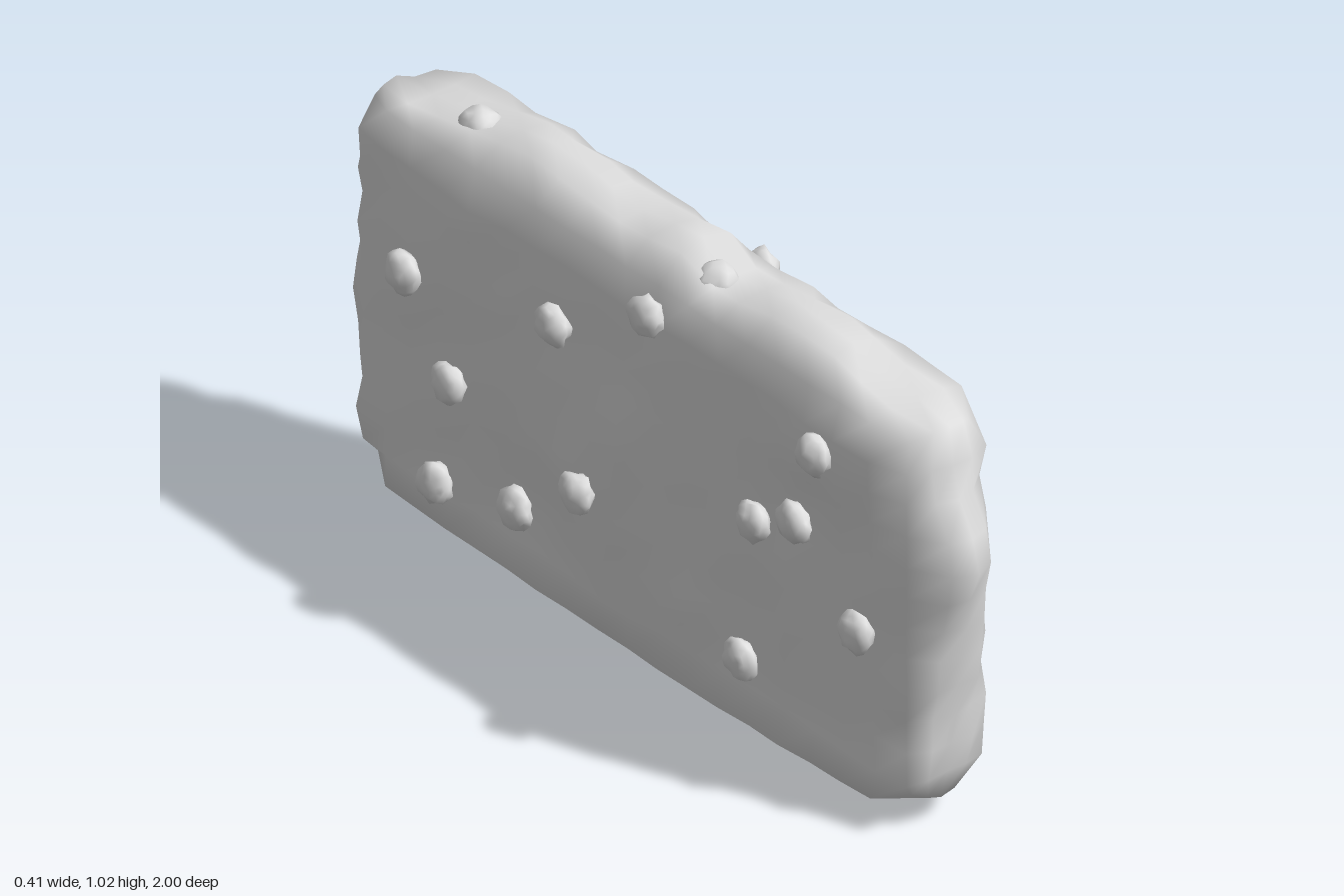
import * as THREE from 'three';
import { mergeVertices } from 'three/addons/utils/BufferGeometryUtils.js';

const stone = new THREE.MeshStandardMaterial({ color: 0xdedede });
stone.name = 'pale stone';

// Piecewise-linear profile through [position, value] pairs in rising order
function profile(points, t) {
  if (t <= points[0][0]) return points[0][1];
  for (let i = 1; i < points.length; i++) {
    const [a, va] = points[i - 1], [b, vb] = points[i];
    if (t <= b) return va + (vb - va) * (t - a) / (b - a);
  }
  return points[points.length - 1][1];
}

// Repeatable noise in -1..1 from a position
function noise(x, y, z) {
  const s = Math.sin(x * 127.1 + y * 311.7 + z * 74.7) * 43758.5453;
  return (s - Math.floor(s)) * 2 - 1;
}

// Weld the corners, move every vertex, then smooth the normals
function smooth(geometry, move) {
  geometry.deleteAttribute('uv');
  geometry.deleteAttribute('normal');
  const welded = mergeVertices(geometry, 1e-4);
  const p = welded.attributes.position, v = new THREE.Vector3();
  for (let i = 0; i < p.count; i++) {
    move(v.fromBufferAttribute(p, i));
    p.setXYZ(i, v.x, v.y, v.z);
  }
  welded.computeVertexNormals();
  return welded;
}

// Ridge outlines around the slab's rim
const TOP = [[-0.9, 0.92], [-0.6, 0.97], [-0.42, 1.01], [-0.1, 0.99], [0.1, 1.015], [0.2, 0.97], [0.4, 1], [0.58, 1], [0.9, 0.94]];
const BOTTOM = [[-0.89, 0.06], [-0.42, 0], [-0.1, 0.02], [0.08, 0.01], [0.4, 0.025], [0.88, 0.06]];
const FRONT = [[0.06, 0.88], [0.2, 0.91], [0.45, 0.95], [0.68, 1], [0.78, 0.93], [0.93, 0.9]];
const BACK = [[0.06, 0.89], [0.2, 0.95], [0.45, 1], [0.6, 0.96], [0.78, 0.97], [0.91, 0.9]];

// Pebbles on both broad faces: z, y, distance out on +x, distance out on -x
const STUDS = [
  [0.67, 0.83, 0.133, 0.178], [0.1, 0.89, 0.142, 0.16], [-0.21, 0.72, 0.125, 0.155],
  [-0.68, 0.63, 0.15, 0.172], [0.55, 0.6, 0.163, 0.132], [0.43, 0.55, 0.165, 0.143],
  [0.76, 0.44, 0.142, 0.14], [-0.55, 0.42, 0.163, 0.155], [-0.11, 0.375, 0.147, 0.172],
  [0.37, 0.19, 0.122, 0.128], [-0.37, 0.2, 0.115, 0.125], [-0.61, 0.155, 0.125, 0.143],
];

// Sharp swellings on the broad faces: side, z, y, height
const BULGES = [
  [1, 0.49, 0.55, 0.05], [1, 0.27, 0.85, 0.065], [1, 0.59, 0.28, 0.05],
  [-1, 0, 0.55, 0.025], [-1, -0.5, 0.85, 0.02], [-1, 0.2, 0.22, 0.03],
];

// Half thickness of a broad face: passes just under its pebbles
function faceDepth(side, z, y) {
  let sum = 0, total = 0, extra = 0;
  for (const [sz, sy, left, right] of STUDS) {
    const weight = ((sz - z) ** 2 + (sy - y) ** 2 + 0.008) ** -1.5;
    sum += weight * (side > 0 ? left : right);
    total += weight;
  }
  for (const [s, bz, by, h] of BULGES) {
    if (s === side) extra += h * Math.exp(-((z - bz) ** 2 + (y - by) ** 2) / 0.004);
  }
  return sum / total - 0.018 + extra;
}

function slabGeometry() {
  return smooth(new THREE.BoxGeometry(2, 2, 2, 4, 12, 18), (v) => {
    const { x: ux, y: uy, z: uz } = v;
    const n = noise(ux, uy, uz);
    const crown = 1 - Math.abs(ux) ** 2.5;
    const onRim = Math.abs(uy) > 0.99, onEnd = Math.abs(uz) > 0.99;
    let y = 0.49 + uy * 0.44, z = uz * 0.89;
    // Rim and ends: pull the centre out to the ridge outline
    if (onRim) {
      const edge = uy > 0 ? 0.945 : 0.04 + 0.02 * uz * uz;
      const ridge = profile(uy > 0 ? TOP : BOTTOM, z);
      y = edge + (ridge - edge) * crown + n * 0.008;
    }
    if (onEnd) {
      const ridge = profile(uz > 0 ? FRONT : BACK, y);
      z = Math.sign(uz) * (0.885 + (ridge - 0.885) * crown + n * 0.008);
    } else {
      z += n * 0.012;
    }
    // Broad faces: narrow towards the rim, most of all at the corners
    const blend = Math.max(Math.abs(uy), Math.abs(uz)) ** 8;
    let rimWidth = onRim ? 0.122 : uz > 0 ? 0.1 : 0.112;
    if (onRim && onEnd) {
      rimWidth = 0.075;
      y -= Math.sign(uy) * 0.025 * ux * ux;
      z -= Math.sign(uz) * 0.015 * ux * ux;
    }
    const w = rimWidth * blend + faceDepth(Math.sign(ux), z, y) * (1 - blend) + n * 0.005;
    v.set(ux * w - 0.007 * blend, y, z);
  });
}

// Small lumpy pebble
function pebbleGeometry(seed) {
  return smooth(new THREE.IcosahedronGeometry(1, 2), (v) => {
    const n = noise(Math.round(v.x * 50) + seed, Math.round(v.y * 50), Math.round(v.z * 50));
    v.multiplyScalar(0.046 * (1 + 0.14 * n));
  });
}

export function createModel() {
  const model = new THREE.Group();
  model.name = 'stoneSlab';

  const slab = new THREE.Mesh(slabGeometry(), stone);
  slab.name = 'slab';
  model.add(slab);

  const shapes = [1, 2, 3].map(pebbleGeometry);
  let count = 0;
  const addPebble = (name, x, y, z) => {
    const pebble = new THREE.Mesh(shapes[count % 3], stone);
    pebble.name = name;
    pebble.position.set(x, y, z);
    pebble.rotation.x = count++ * 1.3;
    model.add(pebble);
    return pebble;
  };
  // Flattened pebbles on the broad faces
  for (const [z, y, left, right] of STUDS) {
    addPebble('leftPebble', left, y, z).scale.x = 0.65;
    addPebble('rightPebble', -right, y, z).scale.x = 0.65;
  }

  // Pebbles on the top rim
  addPebble('topPebble', -0.025, 0.95, -0.61);
  addPebble('topPebble', -0.035, 0.955, 0.18);
  return model;
}
